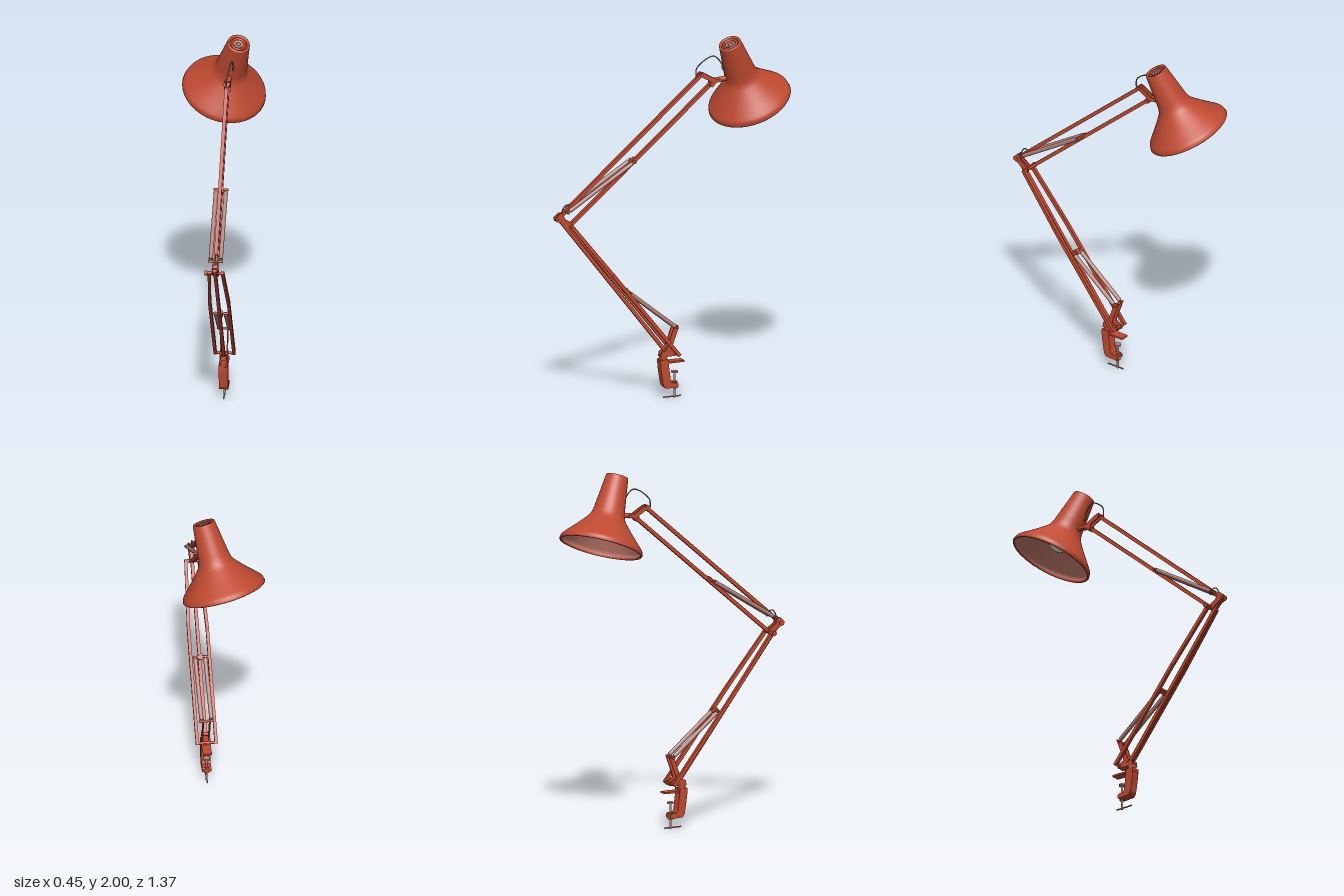
import * as THREE from 'three';

const V = (x, y, z) => new THREE.Vector3(x, y, z);
const UP = V(0, 1, 0);
const mat = (name, color) => {
  const m = new THREE.MeshStandardMaterial({ color });
  m.name = name;
  return m;
};

export function createModel() {
  const paint = mat('redPaint', 0xbf4a31);
  const lining = mat('paleLining', 0xc87f72);
  const steel = mat('springSteel', 0xb0827a);
  const cableMat = mat('cableBrown', 0x95706a);
  const glass = mat('bulbWhite', 0xe8e8e6);

  const model = new THREE.Group();
  model.name = 'deskLamp';
  // Everything on the arm is built around its own middle plane
  const arm = new THREE.Group();
  arm.name = 'armAssembly';
  arm.position.x = 0.039;
  model.add(arm);

  const add = (name, geo, m, parent = arm) => {
    const mesh = new THREE.Mesh(geo, m);
    mesh.name = name;
    parent.add(mesh);
    return mesh;
  };
  // Rectangular bar between two points
  const bar = (name, a, b, w = 0.018, h = 0.02) => {
    const mesh = add(name, new THREE.BoxGeometry(w, h, a.distanceTo(b)), paint);
    mesh.position.copy(a).add(b).multiplyScalar(0.5);
    mesh.quaternion.setFromRotationMatrix(new THREE.Matrix4().lookAt(b, a, UP));
  };
  // Round rod between two points
  const rod = (name, a, b, r, m = paint) => {
    const mesh = add(name, new THREE.CylinderGeometry(r, r, a.distanceTo(b), 20), m);
    mesh.position.copy(a).add(b).multiplyScalar(0.5);
    mesh.quaternion.setFromUnitVectors(UP, b.clone().sub(a).normalize());
  };
  // Rod across the arm
  const pin = (name, y, z, half, r = 0.007) => rod(name, V(-half, y, z), V(half, y, z), r);
  // Flat plate from a side outline of [z, y] points, w wide
  const plate = (name, pts, w, x = 0) => {
    const shape = new THREE.Shape(pts.map(([z, y]) => new THREE.Vector2(-z, y)));
    const geo = new THREE.ExtrudeGeometry(shape, { depth: w, bevelEnabled: false });
    geo.translate(0, 0, -w / 2).rotateY(Math.PI / 2);
    add(name, geo, paint).position.x = x;
  };
  const cable = (name, pts) =>
    add(name, new THREE.TubeGeometry(new THREE.CatmullRomCurve3(pts), 40, 0.0035, 8), cableMat);
  // Close-wound spring: a plain barrel with thin hooks at both ends
  const spring = (name, a, b) => {
    rod(name + 'Hooks', a, b, 0.005, steel);
    rod(name, a.clone().lerp(b, 0.03), a.clone().lerp(b, 0.97), 0.0115, steel);
  };

  // --- Table clamp ---
  plate('clampBody', [[0.074, 0.225], [0.072, 0.18], [0.057, 0.085], [0.045, 0.066], [-0.025, 0.062],
    [-0.031, 0.068], [-0.031, 0.084], [-0.022, 0.09], [0.008, 0.093], [0.014, 0.105], [0.026, 0.2],
    [0.026, 0.225]], 0.05);
  plate('clampTopJaw', [[0.075, 0.213], [0.075, 0.202], [-0.066, 0.204], [-0.066, 0.213]], 0.048);
  rod('clampSocket', V(0, 0.2, 0.05), V(0, 0.245, 0.05), 0.022);
  rod('clampBoss', V(0, 0.058, -0.018), V(0, 0.095, -0.018), 0.015);
  rod('clampScrew', V(0, 0.004, -0.018), V(0, 0.15, -0.018), 0.006, steel);
  rod('clampPad', V(0, 0.144, -0.018), V(0, 0.153, -0.018), 0.018, steel);
  rod('screwHandle', V(0, 0.011, -0.055), V(0, 0.011, 0.048), 0.004, steel);

  // --- Base bracket, with two cheeks ---
  for (const s of [-1, 1]) {
    plate('baseBracketCheek', [[0.07, 0.24], [0.066, 0.268], [0.036, 0.282], [-0.01, 0.412],
      [-0.03, 0.412], [-0.034, 0.398], [0.002, 0.3], [0.004, 0.285], [-0.034, 0.262], [-0.034, 0.246],
      [0.0, 0.242]], 0.006, s * 0.018);
  }
  plate('baseBracketFloor', [[0.07, 0.24], [0.068, 0.25], [-0.03, 0.256], [-0.03, 0.246]], 0.036);
  pin('baseSpringPin', 0.402, -0.02, 0.04);
  pin('basePivotPin', 0.255, -0.02, 0.06, 0.008);
  pin('baseFrontPin', 0.275, 0.035, 0.024, 0.009);

  // --- Lower arm: one middle bar, and a pair that closes in at the elbow ---
  bar('lowerMiddleBar', V(0, 0.27, 0.037), V(0, 1.07, 0.655));
  for (const s of [-1, 1]) {
    const a = V(s * 0.051, 0.25, -0.026), b = V(s * 0.051, 0.74, 0.362), c = V(s * 0.036, 1.035, 0.598);
    bar('lowerSideBar', a, b, 0.017);
    bar('lowerSideBarTaper', b, c, 0.017);
    spring('lowerSpring', V(s * 0.027, 0.402, -0.018), V(s * 0.027, 0.627, 0.26));
  }
  pin('lowerSpringPin', 0.627, 0.262, 0.041);
  bar('lowerSpringClip', V(0, 0.615, 0.252), V(0, 0.639, 0.272), 0.025, 0.025);

  // --- Elbow ---
  for (const s of [-1, 1]) {
    plate('elbowCheek', [[0.685, 1.08], [0.68, 1.063], [0.655, 1.055], [0.6, 1.015], [0.58, 1.025],
      [0.585, 1.045], [0.63, 1.075], [0.64, 1.105], [0.655, 1.108]], 0.006, s * 0.013);
  }
  pin('elbowFrontPin', 1.075, 0.66, 0.019, 0.01);
  pin('elbowBackPin', 1.03, 0.595, 0.045, 0.009);
  rod('elbowKnob', V(-0.062, 1.03, 0.595), V(-0.046, 1.03, 0.595), 0.014);
  pin('elbowSpringPin', 1.112, 0.618, 0.04);
  cable('elbowCable', [V(0, 1.08, 0.65), V(0, 1.115, 0.64), V(0, 1.146, 0.62), V(0, 1.145, 0.6),
    V(0, 1.115, 0.58)]);

  // --- Upper arm ---
  bar('upperTopBar', V(0, 1.083, 0.655), V(0, 1.797, -0.172), 0.02);
  bar('upperBottomBar', V(0, 1.03, 0.595), V(0, 1.742, -0.23), 0.02);
  for (const s of [-1, 1]) spring('upperSpring', V(s * 0.027, 1.113, 0.617), V(s * 0.027, 1.356, 0.229));
  pin('upperSpringPin', 1.356, 0.227, 0.041);
  bar('upperSpringClip', V(0, 1.343, 0.238), V(0, 1.367, 0.212), 0.025, 0.025);

  // --- Head bracket ---
  for (const s of [-1, 1]) {
    plate('headBracketCheek', [[-0.15, 1.795], [-0.165, 1.812], [-0.185, 1.808], [-0.255, 1.768],
      [-0.285, 1.768], [-0.285, 1.75], [-0.258, 1.748], [-0.235, 1.724], [-0.215, 1.732],
      [-0.222, 1.758], [-0.172, 1.785]], 0.006, s * 0.013);
  }
  pin('headTopPin', 1.797, -0.172, 0.019, 0.009);
  pin('headBottomPin', 1.742, -0.23, 0.019, 0.009);
  rod('headPivot', V(0, 1.759, -0.25), V(0.004, 1.765, -0.325), 0.014);
  cable('headCable', [V(0, 1.785, -0.145), V(0, 1.83, -0.145), V(0.006, 1.855, -0.16),
    V(0.016, 1.895, -0.215), V(0.02, 1.898, -0.245), V(0.026, 1.85, -0.285), V(0.026, 1.825, -0.287),
    V(0.024, 1.812, -0.325)]);

  // --- Shade, turned around its own tilted axis with the rim at its origin ---
  const shade = new THREE.Group();
  shade.name = 'shade';
  shade.position.set(0, 1.61, -0.475);
  shade.quaternion.setFromUnitVectors(UP, V(0.23, 0.894, 0.386).normalize());
  model.add(shade);
  const lathe = (name, pts, m) =>
    add(name, new THREE.LatheGeometry(pts.map(([r, y]) => new THREE.Vector2(r, y)), 64), m, shade);

  // Flared skirt and tapering neck as one smooth curve
  const skirt = new THREE.SplineCurve([[0.229, 0.012], [0.224, 0.028], [0.205, 0.05], [0.165, 0.092],
    [0.122, 0.14], [0.098, 0.172], [0.087, 0.205], [0.081, 0.25], [0.072, 0.32], [0.062, 0.4]]
    .map(p => new THREE.Vector2(...p))).getPoints(45).map(p => [p.x, p.y]);
  lathe('shadeOuter', skirt, paint);
  lathe('shadeLining', skirt.map(([r, y]) => [r - 0.005, y - 0.003]).reverse(), lining);
  lathe('shadeRim', [[0.22, 0.011], [0.221, 0], [0.227, 0], [0.231, 0.005], [0.229, 0.013]], paint);

  // Vented cap: raised rings around a recessed centre
  lathe('capRim', [[0.062, 0.4], [0.06, 0.406], [0.05, 0.406], [0.047, 0.396]], paint);
  lathe('capFloor', [[0.05, 0.396], [0, 0.396]], paint);
  lathe('capRing', [[0.042, 0.396], [0.042, 0.403], [0.032, 0.403], [0.032, 0.396]], paint);
  lathe('capInnerRing', [[0.025, 0.396], [0.025, 0.401], [0.016, 0.401], [0.016, 0.396]], steel);
  lathe('capButton', [[0.01, 0.396], [0.01, 0.402], [0, 0.403]], steel);

  // Bulb and its holder
  add('bulb', new THREE.SphereGeometry(0.062, 32, 24), glass, shade).position.y = 0.12;
  add('bulbNeck', new THREE.CylinderGeometry(0.028, 0.045, 0.07, 24), glass, shade).position.y = 0.19;
  add('bulbHolder', new THREE.CylinderGeometry(0.032, 0.032, 0.17, 24), steel, shade).position.y = 0.305;

  return model;
}
